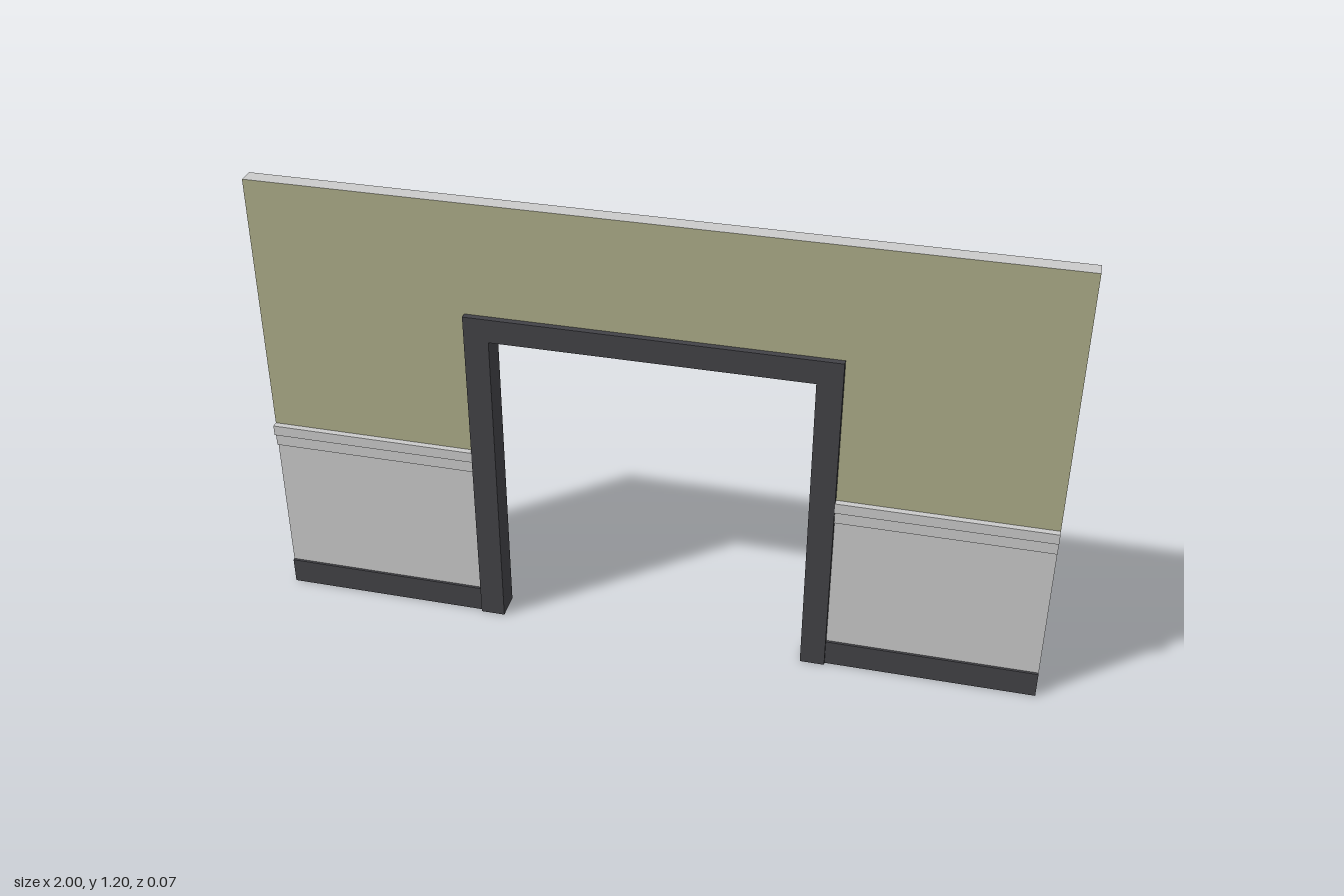
import * as THREE from 'three';

const material = (name, color) => Object.assign(new THREE.MeshStandardMaterial({ color }), { name });

// Upside-down U outline: outer half width, top, inner half width, underside, foot height
function archShape(outer, top, inner, under, foot) {
  return new THREE.Shape([
    [-outer, foot], [-inner, foot], [-inner, under], [inner, under],
    [inner, foot], [outer, foot], [outer, top], [-outer, top],
  ].map(([x, y]) => new THREE.Vector2(x, y)));
}

function extrude(shape, back, front) {
  return new THREE.ExtrudeGeometry(shape, { depth: front - back, bevelEnabled: false }).translate(0, 0, back);
}

export function createModel() {
  const group = new THREE.Group();
  const paint = material('olive paint', 0xadad89);
  const plaster = material('light grey plaster', 0xcbcbcb);
  const trim = material('dark trim', 0x424247);

  const add = (name, geometry, mat) => {
    const mesh = new THREE.Mesh(geometry, mat);
    mesh.name = name;
    group.add(mesh);
    return mesh;
  };

  const FRAME = 0.463, FRAME_TOP = 0.905, BASE = 0.07;

  // Wall: painted faces, plaster edges
  add('wall', extrude(archShape(1, 1.2, FRAME, FRAME_TOP, BASE), -0.02, 0.02), [paint, plaster]);

  // Door frame wrapping the opening
  add('doorFrame', extrude(archShape(FRAME, FRAME_TOP, 0.4, 0.842, 0), -0.036, 0.036), trim);

  // Stepped rail profile, drawn as depth and height
  const railProfile = new THREE.Shape([
    [0.019, 0.447], [0.028, 0.447], [0.028, 0.482], [0.036, 0.482], [0.036, 0.51], [0.019, 0.51],
  ].map(([z, y]) => new THREE.Vector2(-z, y)));

  const width = 1 - FRAME;
  for (const [side, s] of [['left', 1], ['right', -1]]) {
    const x = s * (FRAME + 1) / 2;

    // Baseboard passing through the wall, with plaster ends and underside
    const base = add(`${side}Baseboard`, new THREE.BoxGeometry(width, BASE, 0.064),
      [plaster, plaster, trim, plaster, trim, trim]);
    base.position.set(x, BASE / 2, -0.004);

    // Thin lower wall panel
    const panel = add(`${side}LowerPanel`, new THREE.BoxGeometry(width, 0.43, 0.002), plaster);
    panel.position.set(x, BASE + 0.215, 0.0205);

    // Chair rail
    const rail = add(`${side}ChairRail`, extrude(railProfile, -width / 2, width / 2), plaster);
    rail.rotation.y = Math.PI / 2;
    rail.position.x = x;
  }
  return group;
}
